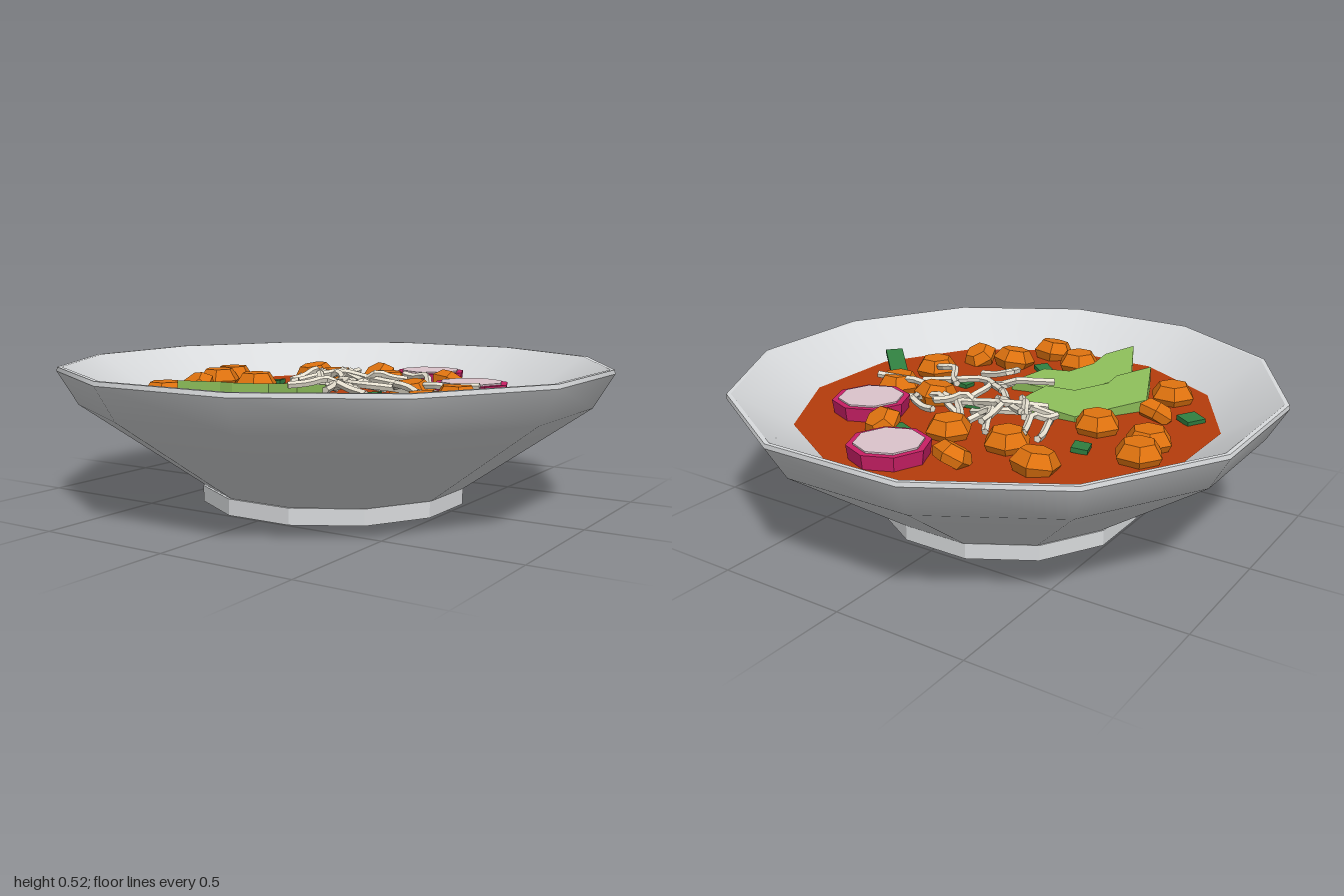
import * as THREE from 'three';

const mat = (name, color) => Object.assign(new THREE.MeshStandardMaterial({ color }), { name });
const V2 = (x, y) => new THREE.Vector2(x, y);
const SOUP_Y = 0.385;

// Faceted normals for the low-poly parts
function flat(geo) {
  const g = geo.index ? geo.toNonIndexed() : geo;
  g.computeVertexNormals();
  return g;
}

export function createModel() {
  const root = new THREE.Group();
  root.name = 'soupBowl';
  const ceramic = mat('ceramic', 0xd9dbdd);
  const broth = mat('broth', 0xb53c0c);
  const carrot = mat('carrot', 0xe0730f);
  const avocado = mat('avocado', 0x8aba58);
  const herb = mat('herb', 0x2f7d3f);
  const radishSkin = mat('radishSkin', 0xc91f65);
  const radishFlesh = mat('radishFlesh', 0xdcc4cc);
  const noodle = mat('noodle', 0xe6e0d0);

  const add = (parent, name, geo, material, x = 0, y = 0, z = 0) => {
    const m = new THREE.Mesh(geo, material);
    m.name = name;
    m.position.set(x, y, z);
    parent.add(m);
    return m;
  };
  const group = (name) => {
    const g = new THREE.Group();
    g.name = name;
    root.add(g);
    return g;
  };

  // Bowl: twelve sides, separate bands keep the rim sharp
  const bowl = group('bowl');
  const R = 1 / Math.cos(Math.PI / 12);
  const band = (name, pts) => add(bowl, name,
    new THREE.LatheGeometry(pts.map(([r, y]) => V2(r * R, y)), 12, Math.PI / 12), ceramic);
  band('outerWall', [[0.485, 0.06], [0.927, 0.38], [0.998, 0.505]]);
  band('rimEdge', [[0.998, 0.505], [0.995, 0.52]]);
  band('rimTop', [[0.995, 0.52], [0.98, 0.52]]);
  band('innerWall', [[0.98, 0.52], [0.77, SOUP_Y - 0.005]]);
  const foot = add(bowl, 'foot', flat(new THREE.CylinderGeometry(0.505, 0.505, 0.06, 12)), ceramic, -0.005, 0.03, 0.005);
  foot.rotation.y = Math.PI / 12;

  // Broth surface
  const soup = add(root, 'broth', new THREE.CircleGeometry(0.803, 12, Math.PI / 12), broth, 0, SOUP_Y, 0);
  soup.rotation.x = -Math.PI / 2;

  // Avocado slices: extruded outlines with a sloping top
  const slices = group('avocadoSlices');
  [
    [[-0.28, 0.02], [-0.04, 0.01], [-0.07, 0.16], [-0.18, 0.19], [-0.26, 0.31], [-0.26, 0.38], [-0.34, 0.52], [-0.445, 0.275]],
    [[-0.13, 0.25], [0.115, 0.2], [0.06, 0.36], [-0.035, 0.4], [-0.085, 0.51], [-0.085, 0.61], [-0.15, 0.74], [-0.265, 0.5]],
  ].forEach((pts) => {
    const g = new THREE.ExtrudeGeometry(new THREE.Shape(pts.map(([x, z]) => V2(x, -z))), { depth: 0.11, bevelEnabled: false });
    g.rotateX(-Math.PI / 2);
    const [tx, tz] = pts[6];
    const p = g.attributes.position;
    for (let i = 0; i < p.count; i++) {
      p.setY(i, p.getY(i) + 0.365 + 0.1 * (p.getX(i) - tx) + 0.15 * (p.getZ(i) - tz));
    }
    add(slices, 'avocadoSlice', flat(g), avocado);
  });

  // Radish slices: octagonal disc with a thin pale face
  const radishes = group('radishSlices');
  [[0.085, -0.605], [0.43, -0.29]].forEach(([x, z]) => {
    add(radishes, 'radishSkin', flat(new THREE.CylinderGeometry(0.147, 0.14, 0.06, 8)), radishSkin, x, 0.407, z);
    add(radishes, 'radishFace', flat(new THREE.CylinderGeometry(0.123, 0.123, 0.006, 8)), radishFlesh, x, 0.44, z);
  });

  // Carrot chunks: x, z, turn, tilt
  const carrots = group('carrotChunks');
  const chunk = flat(new THREE.LatheGeometry([V2(0, -0.035), V2(0.072, -0.035), V2(0.089, 0), V2(0.058, 0.045), V2(0, 0.045)], 6));
  [
    [-0.39, -0.43, 0.2, 0.15], [-0.21, -0.325, 0.5, 0], [-0.13, -0.535, 0.1, 0.5], [0.03, -0.34, 0.5, 0],
    [0.265, -0.425, 0.3, -0.5], [0.29, -0.065, 0.1, 0.15], [0.49, -0.05, 0.52, 0], [0.49, 0.2, 0.52, 0],
    [-0.64, -0.175, 0.5, 0], [-0.615, -0.05, 0.5, 0], [-0.39, -0.01, 0.5, 0], [-0.515, 0.21, 0.4, 0.5],
    [-0.48, 0.43, 0.52, 0], [0.03, 0.59, 0.52, 0], [0.205, 0.675, 0.35, 0.15], [0.285, 0.48, 0.1, 0.15],
    [0.43, 0.43, 0.3, -0.4],
  ].forEach(([x, z, turn, tilt]) => {
    const m = add(carrots, 'carrotChunk', chunk, carrot, x, 0.41, z);
    m.rotation.set(tilt, turn, tilt * 0.5);
    if (Math.abs(tilt) > 0.3) m.scale.setScalar(0.85);
  });

  // Herb pieces: x, y, z, length, width, turn, tilt
  const herbs = group('herbPieces');
  [
    [-0.435, 0.395, -0.205, 0.06, 0.07, 0.3, 0.1], [-0.635, 0.395, 0.26, 0.07, 0.08, -0.5, 0.1],
    [0.19, 0.4, -0.42, 0.06, 0.06, -0.3, 0.1], [0.655, 0.425, 0.14, 0.15, 0.07, -0.75, 0.35],
    [0.1, 0.4, 0.435, 0.11, 0.06, -0.6, 0.15], [0.31, 0.395, 0.135, 0.08, 0.05, -0.1, 0.1],
    [0.13, 0.395, -0.05, 0.07, 0.05, 0.4, 0.1],
  ].forEach(([x, y, z, l, w, turn, tilt]) => {
    const m = add(herbs, 'herbPiece', new THREE.BoxGeometry(l, 0.018, w), herb, x, y, z);
    m.rotation.set(0, turn, tilt);
  });

  // Noodles: wavy tubes through three plan points each, heaped in the middle
  const noodles = group('noodles');
  let seed = 7;
  const rnd = () => (seed = (seed * 16807) % 2147483647) / 2147483647;
  [
    [-0.31, -0.29, -0.27, -0.15, -0.2, 0], [-0.26, -0.3, -0.22, -0.18, -0.25, -0.06],
    [-0.12, -0.33, -0.06, -0.2, 0.04, -0.18], [-0.09, -0.31, -0.07, -0.15, 0.09, -0.1],
    [0.02, -0.28, 0.09, -0.2, 0.04, -0.09], [0.13, -0.3, 0.25, -0.26, 0.33, -0.14],
    [-0.18, -0.01, -0.07, -0.13, 0.24, -0.15], [-0.24, -0.05, -0.12, -0.06, -0.02, -0.04],
    [-0.07, 0.22, 0.03, 0.11, 0.15, 0.08], [0.13, 0.27, 0.11, 0.18, 0.25, 0.19],
    [0.03, 0, 0.17, 0.09, 0.42, 0.02], [0.43, 0.14, 0.33, 0.11, 0.24, 0],
    [-0.16, -0.16, -0.05, -0.1, 0.04, -0.01], [0.09, -0.19, 0.22, -0.13, 0.42, -0.14],
    [-0.02, -0.04, 0.09, 0.04, 0.07, 0.14], [0.56, -0.09, 0.38, -0.06, 0.2, -0.1],
    [0.01, -0.25, -0.02, -0.15, -0.13, -0.04], [0.19, 0.13, 0.12, 0.03, 0.14, -0.13],
    [-0.2, -0.2, -0.13, -0.08, -0.05, 0.02], [0.2, -0.2, 0.1, -0.14, 0, -0.12],
  ].forEach(([ax, az, bx, bz, cx, cz]) => {
    const y = 0.4 + rnd() * 0.035;
    const path = new THREE.CatmullRomCurve3([
      new THREE.Vector3(ax, y + rnd() * 0.03, az),
      new THREE.Vector3((ax + bx) / 2 + 0.02 * (rnd() - 0.5), y + 0.02, (az + bz) / 2 + 0.03 * (rnd() - 0.5)),
      new THREE.Vector3(bx, y + 0.02 + rnd() * 0.02, bz),
      new THREE.Vector3((bx + cx) / 2 + 0.02 * (rnd() - 0.5), y + 0.01, (bz + cz) / 2 + 0.03 * (rnd() - 0.5)),
      new THREE.Vector3(cx, y - 0.01 + rnd() * 0.02, cz),
    ]);
    add(noodles, 'noodle', flat(new THREE.TubeGeometry(path, 9, 0.014, 5)), noodle);
    // End caps
    [0, 1].forEach((t) => {
      const cap = add(noodles, 'noodleEnd', new THREE.CircleGeometry(0.014, 5), noodle);
      cap.position.copy(path.getPoint(t));
      cap.lookAt(cap.position.clone().addScaledVector(path.getTangent(t), t ? 1 : -1));
    });
  });

  return root;
}
